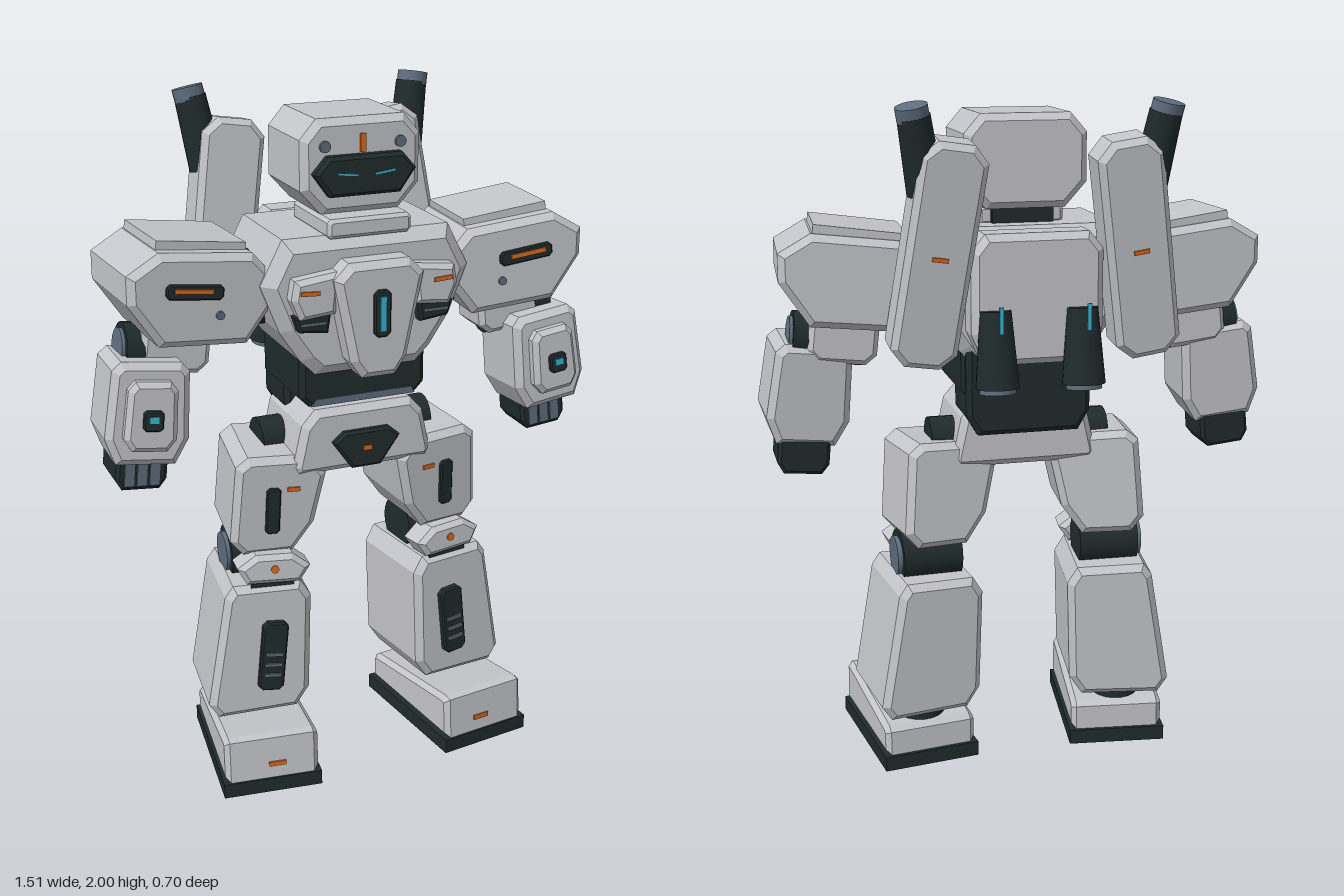
import * as THREE from 'three';

const material = (name, color) => {
  const m = new THREE.MeshStandardMaterial({ color });
  m.name = name;
  return m;
};

export function createModel() {
  const armor = material('light armour', 0xc4c5ca);
  const dark = material('dark frame', 0x202b2c);
  const slate = material('slate metal', 0x5f6d7e);
  const cyan = material('cyan light', 0x35b4cf);
  const orange = material('orange mark', 0xdb6a20);
  const model = new THREE.Group();
  model.name = 'robot';

  const add = (parent, name, geo, mat, x = 0, y = 0, z = 0) => {
    const mesh = new THREE.Mesh(geo, mat);
    mesh.name = name;
    mesh.position.set(x, y, z);
    parent.add(mesh);
    return mesh;
  };
  // Bevelled slab: an outline in x/y running from z0 to z1
  const prism = (parent, name, pts, z0, z1, mat, bevel = 0.015) => {
    const geo = new THREE.ExtrudeGeometry(new THREE.Shape(pts.map(p => new THREE.Vector2(p[0], p[1]))), {
      depth: z1 - z0 - 2 * bevel, bevelEnabled: bevel > 0, bevelSize: bevel,
      bevelThickness: bevel, bevelOffset: -bevel, bevelSegments: 1,
    });
    return add(parent, name, geo.translate(0, 0, z0 + bevel), mat);
  };
  const box = (parent, name, w, h, d, mat, x, y, z) =>
    add(parent, name, new THREE.BoxGeometry(w, h, d), mat, x, y, z);
  // Outline symmetric about x = 0, from its right half listed top to bottom
  const both = half => [...half, ...half.map(([x, y]) => [-x, y]).reverse()];
  const chamfered = (w, h, c) => both([[w / 2 - c, h / 2], [w / 2, h / 2 - c], [w / 2, c - h / 2], [w / 2 - c, -h / 2]]);
  // Cylinder between two points
  const rod = (parent, name, a, b, r0, r1, mat) => {
    const from = new THREE.Vector3(...a), to = new THREE.Vector3(...b);
    const dir = to.clone().sub(from);
    const mesh = add(parent, name, new THREE.CylinderGeometry(r1, r0, dir.length(), 20), mat);
    mesh.position.copy(from).add(to).multiplyScalar(0.5);
    mesh.quaternion.setFromUnitVectors(new THREE.Vector3(0, 1, 0), dir.normalize());
    return mesh;
  };
  const group = (name, x, y, z, rx = 0, ry = 0, rz = 0) => {
    const g = new THREE.Group();
    g.name = name;
    g.position.set(x, y, z);
    g.rotation.set(rx, ry, rz);
    model.add(g);
    return g;
  };

  // Head
  prism(model, 'head', both([[0.13, 1.955], [0.178, 1.9], [0.178, 1.76], [0.115, 1.69]]), -0.13, 0.152, armor, 0.02);
  prism(model, 'visor', both([[0.11, 1.857], [0.152, 1.81], [0.105, 1.745]]), 0.13, 0.183, dark, 0.01);
  box(model, 'foreheadStripe', 0.016, 0.05, 0.009, orange, 0, 1.886, 0.155);
  for (const s of [1, -1]) {
    rod(model, 'headBolt', [s * 0.112, 1.882, 0.14], [s * 0.112, 1.882, 0.16], 0.016, 0.016, slate);
    box(model, 'eye', 0.06, 0.007, 0.006, cyan, s * 0.055, 1.807, 0.184).rotation.z = s * 0.12;
  }
  prism(model, 'collar', chamfered(0.25, 0.055, 0.01), -0.06, 0.21, armor, 0.01).position.y = 1.665;
  box(model, 'neck', 0.18, 0.12, 0.16, dark, 0, 1.65, 0);

  // Torso
  prism(model, 'chest', both([[0.25, 1.645], [0.315, 1.52], [0.26, 1.38], [0.2, 1.29], [0.155, 1.245]]),
    -0.17, 0.215, armor, 0.035);
  prism(model, 'chestPlate', both([[0.09, 1.585], [0.135, 1.54], [0.085, 1.3], [0.05, 1.25]]), 0.18, 0.29, armor, 0.02);
  prism(model, 'chestSlot', chamfered(0.05, 0.135, 0.012), 0.28, 0.302, dark, 0.004).position.y = 1.44;
  box(model, 'chestLight', 0.018, 0.1, 0.006, cyan, 0, 1.44, 0.303);
  prism(model, 'waist', both([[0.195, 1.34], [0.195, 1.17], [0.165, 1.14]]), -0.14, 0.17, dark);
  prism(model, 'lowerBackFrame', both([[0.185, 1.32], [0.185, 1.1], [0.15, 1.04]]), -0.16, 0.02, dark);
  prism(model, 'waistTrim', both([[0.15, 1.165], [0.16, 1.145]]), 0.165, 0.174, slate, 0);
  prism(model, 'pelvis', both([[0.15, 1.13], [0.19, 1.085], [0.218, 0.96], [0.205, 0.935]]), -0.12, 0.18, armor, 0.02);
  prism(model, 'pelvisPlate', both([[0.07, 1.06], [0.105, 1.03], [0.045, 0.945]]), 0.17, 0.2, dark, 0.008);
  box(model, 'pelvisMark', 0.026, 0.014, 0.008, orange, 0, 1.006, 0.2);

  // Backpack
  prism(model, 'backpack', both([[0.15, 1.64], [0.19, 1.59], [0.19, 1.36], [0.15, 1.27]]), -0.265, -0.15, armor, 0.02);

  for (const s of [1, -1]) {
    const m = pts => pts.map(([x, y]) => [s * x, y]);

    // Chest vents
    prism(model, 'pectoral', m([[0.11, 1.56], [0.24, 1.545], [0.25, 1.49], [0.225, 1.43], [0.12, 1.44]]), 0.19, 0.263, armor);
    box(model, 'pectoralMark', 0.055, 0.012, 0.008, orange, s * 0.2, 1.51, 0.264).rotation.z = s * 0.06;
    prism(model, 'chestVent', m([[0.13, 1.45], [0.24, 1.44], [0.225, 1.395], [0.14, 1.385]]), 0.19, 0.25, dark, 0.008);
    box(model, 'ventSlat', 0.075, 0.008, 0.006, slate, s * 0.185, 1.418, 0.251);

    // Back thrusters
    rod(model, 'thruster', [s * 0.125, 1.215, -0.286], [s * 0.125, 1.43, -0.265], 0.062, 0.044, dark);
    rod(model, 'thrusterMouth', [s * 0.125, 1.2, -0.288], [s * 0.125, 1.216, -0.286], 0.052, 0.052, slate);
    box(model, 'thrusterLight', 0.012, 0.075, 0.006, cyan, s * 0.125, 1.415, -0.336);

    // Shoulder pods with cannons
    const pod = group('shoulderPod', s * 0.285, 1.59, -0.235, -0.11, 0, s * 0.15);
    prism(pod, 'podBody', chamfered(0.19, 0.63, 0.045), -0.065, 0.065, armor, 0.018);
    box(pod, 'podMark', 0.045, 0.012, 0.008, orange, 0, 0, -0.066);
    rod(model, 'cannon', [s * 0.315, 1.76, -0.255], [s * 0.35, 1.965, -0.287], 0.052, 0.046, dark);
    rod(model, 'cannonCap', [s * 0.35, 1.955, -0.285], [s * 0.357, 1.992, -0.291], 0.045, 0.045, slate);

    // Shoulder
    rod(model, 'shoulderJoint', [s * 0.2, 1.47, 0], [s * 0.4, 1.47, 0], 0.11, 0.11, dark);
    const sh = group('shoulder', s * 0.48, 1.51, 0.01, 0, s * -0.06, s * 0.13);
    prism(sh, 'shoulderArmor', m([[0.14, 0.115], [0.225, 0.05], [0.215, -0.03], [0.115, -0.145],
      [-0.14, -0.135], [-0.22, 0], [-0.21, 0.05], [-0.13, 0.12]]), -0.165, 0.175, armor, 0.02);
    box(sh, 'shoulderTopPlate', 0.26, 0.04, 0.26, armor, s * 0.005, 0.12, -0.01);
    prism(sh, 'shoulderSlot', chamfered(0.165, 0.042, 0.01), 0.17, 0.186, dark, 0.004).position.set(s * 0.035, 0.015, 0);
    box(sh, 'shoulderMark', 0.11, 0.013, 0.006, orange, s * 0.04, 0.018, 0.187);
    rod(sh, 'shoulderBolt', [s * -0.045, -0.05, 0.17], [s * -0.045, -0.05, 0.183], 0.012, 0.012, slate);

    // Arm
    const upper = group('upperArm', s * 0.52, 1.36, -0.01, 0, 0, s * 0.12);
    prism(upper, 'upperArmArmor', chamfered(0.2, 0.2, 0.03), -0.08, 0.08, armor);
    rod(model, 'elbow', [s * 0.46, 1.31, -0.005], [s * 0.665, 1.335, -0.005], 0.073, 0.073, dark);
    rod(model, 'elbowCap', [s * 0.66, 1.335, -0.005], [s * 0.675, 1.337, -0.005], 0.056, 0.056, slate);
    const fore = group('forearm', s * 0.625, 1.17, 0.03, -0.05, s * 0.04, s * 0.12);
    prism(fore, 'forearmArmor', both([[0.085, 0.15], [0.11, 0.125], [0.12, -0.07], [0.085, -0.145]]), -0.11, 0.115, armor, 0.02);
    prism(fore, 'forearmPlate', both([[0.05, 0.105], [0.07, 0.08], [0.075, -0.06], [0.05, -0.095]]), 0.1, 0.15, armor);
    prism(fore, 'forearmSlot', chamfered(0.056, 0.058, 0.008), 0.145, 0.165, dark, 0.004);
    box(fore, 'forearmLight', 0.028, 0.02, 0.006, cyan, 0, 0.004, 0.166);
    const hand = group('hand', s * 0.645, 0.99, 0.01, 0, 0, s * 0.1);
    prism(hand, 'palm', both([[0.075, 0.06], [0.075, -0.025], [0.055, -0.055]]), -0.075, 0.08, dark, 0.01);
    for (const i of [-1, 0, 1]) box(hand, 'finger', 0.03, 0.07, 0.016, slate, i * 0.037, -0.005, 0.077);

    // Upper leg
    rod(model, 'hipJoint', [s * 0.12, 1, 0], [s * 0.27, 1, 0], 0.065, 0.065, dark);
    const thigh = group('thigh', s * 0.235, 0.845, 0.015, 0.06, s * 0.13, s * 0.03);
    prism(thigh, 'thighArmor', m([[0.1, 0.16], [0.135, 0.13], [0.145, -0.11], [0.105, -0.155],
      [-0.045, -0.15], [-0.105, -0.06], [-0.135, 0.1], [-0.09, 0.16]]), -0.14, 0.14, armor, 0.02);
    prism(thigh, 'thighSlot', chamfered(0.042, 0.145, 0.008), 0.135, 0.153, dark, 0.004).position.set(s * 0.025, -0.005, 0);
    box(thigh, 'thighMark', 0.038, 0.013, 0.008, orange, s * -0.035, 0.06, 0.141);

    // Knee
    rod(model, 'kneeJoint', [s * 0.19, 0.645, 0], [s * 0.37, 0.645, -0.015], 0.08, 0.08, dark);
    rod(model, 'kneeCap', [s * 0.365, 0.645, -0.015], [s * 0.383, 0.645, -0.016], 0.06, 0.06, slate);
    const knee = group('knee', s * 0.265, 0.645, 0.02, -0.06, s * 0.13, s * 0.06);
    prism(knee, 'kneeGuard', both([[0.055, 0.045], [0.11, 0.005], [0.08, -0.045]]), 0.06, 0.165, armor);
    rod(knee, 'kneeMark', [0, 0.003, 0.16], [0, 0.003, 0.169], 0.012, 0.012, orange);
    box(knee, 'kneeShadowGap', 0.13, 0.04, 0.1, dark, 0, -0.055, 0.09);

    // Lower leg
    const shin = group('shin', s * 0.3, 0.385, 0.01, -0.02, s * 0.13, 0);
    prism(shin, 'shinArmor', m([[0.085, 0.215], [0.11, 0.18], [0.17, -0.17], [0.14, -0.215],
      [-0.1, -0.21], [-0.14, -0.15], [-0.15, 0.16], [-0.12, 0.21]]), -0.16, 0.165, armor, 0.02);
    const vent = new THREE.Group();
    vent.name = 'shinVent';
    vent.position.set(s * -0.025, -0.015, 0.17);
    vent.rotation.z = s * 0.1;
    shin.add(vent);
    prism(vent, 'ventFrame', chamfered(0.078, 0.225, 0.014), -0.01, 0.016, dark, 0.005);
    for (let i = 0; i < 3; i++) box(vent, 'ventRib', 0.052, 0.01, 0.008, slate, 0, 0.01 - i * 0.034, 0.018);
    rod(model, 'ankle', [s * 0.315, 0.12, -0.02], [s * 0.315, 0.22, -0.02], 0.08, 0.08, dark);

    // Foot: side outline swept across its width, higher at the toe
    const foot = group('foot', s * 0.325, 0, 0.1, 0, s * 0.13, 0);
    prism(foot, 'footArmor', [[-0.22, 0.045], [0.225, 0.045], [0.215, 0.175], [0.19, 0.18], [-0.2, 0.135], [-0.22, 0.12]],
      -0.142, 0.142, armor, 0.015).rotation.y = -Math.PI / 2;
    box(foot, 'sole', 0.298, 0.045, 0.462, dark, 0, 0.0225, 0);
    box(foot, 'footMark', 0.052, 0.015, 0.008, orange, s * -0.015, 0.09, 0.222);
  }
  return model;
}
